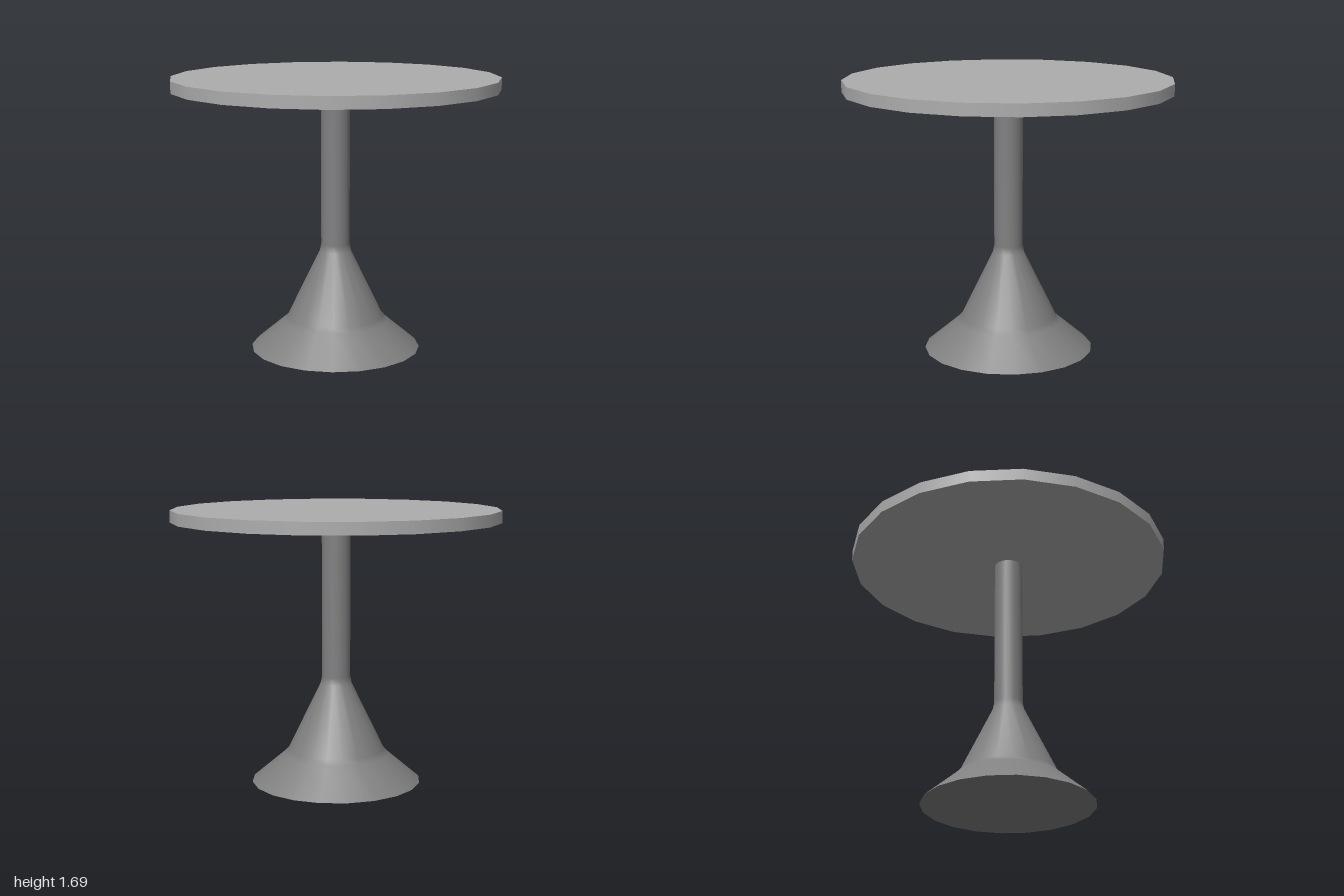
import * as THREE from 'three';

const SIDES = 20;

export function createModel() {
  const group = new THREE.Group();
  const topMaterial = new THREE.MeshStandardMaterial({ color: 0xadadad });
  const baseMaterial = new THREE.MeshStandardMaterial({ color: 0x808080 });
  const add = (name, geometry, material) => {
    const mesh = new THREE.Mesh(geometry, material);
    mesh.name = name;
    group.add(mesh);
    return mesh;
  };

  // Round top
  add('tabletop', new THREE.CylinderGeometry(1, 1, 0.073, SIDES), topMaterial).position.y = 1.654;

  // Flared foot with softened bends, running up into a straight column
  const profile = [
    [0.525, 0], [0.325, 0.17], [0.298, 0.2], [0.097, 0.615], [0.088, 0.66], [0.088, 1.62],
  ].map(([r, y]) => new THREE.Vector2(r, y));
  add('pedestal', new THREE.LatheGeometry(profile, SIDES), baseMaterial);

  // Flat underside of the foot
  add('baseUnderside', new THREE.CircleGeometry(0.525, SIDES), baseMaterial).rotation.x = Math.PI / 2;

  return group;
}
